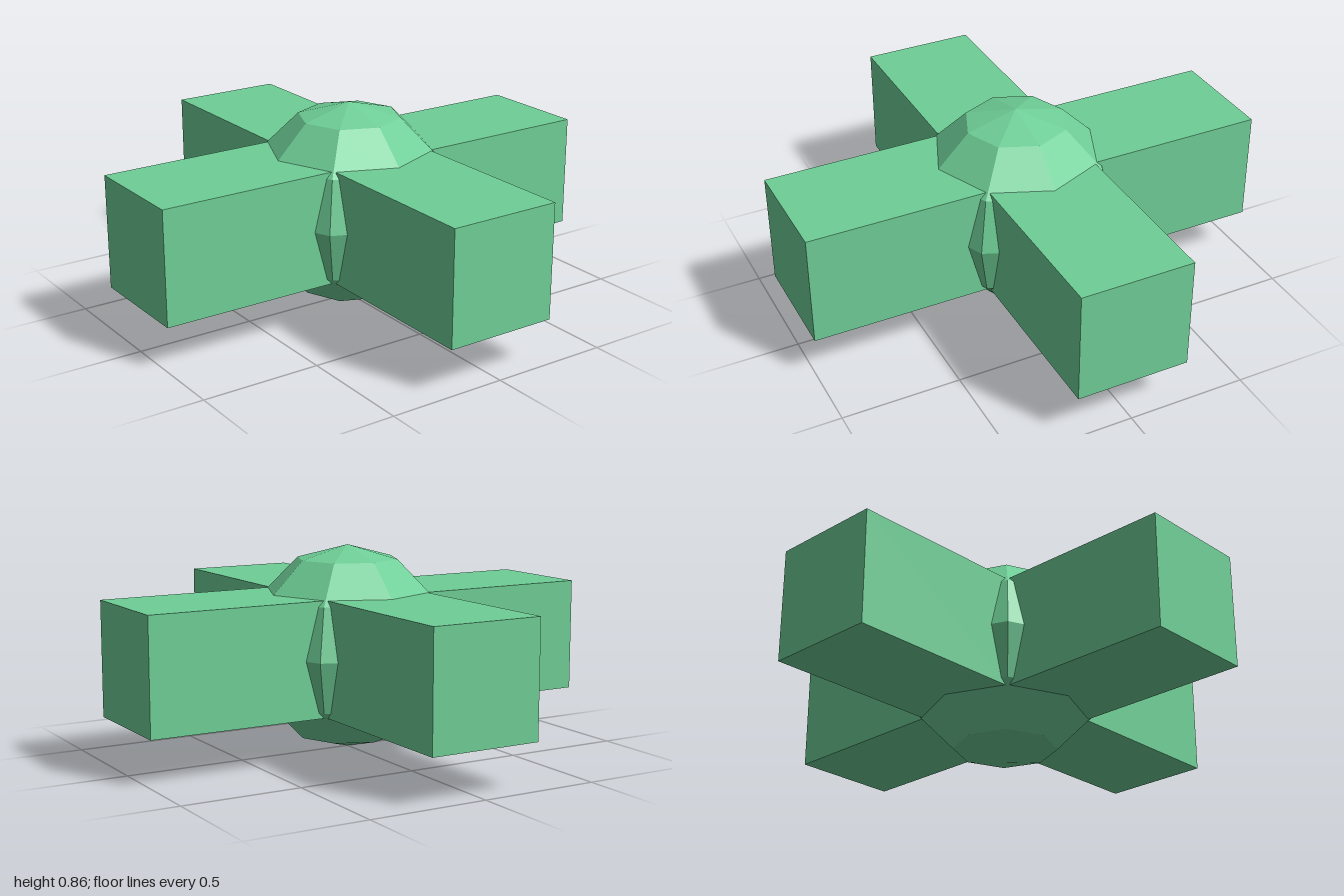
import * as THREE from 'three';

export function createModel() {
  const group = new THREE.Group();
  group.name = 'crossHub';
  const green = new THREE.MeshStandardMaterial({ color: 0x6fcf97, flatShading: true });
  green.name = 'soft green';

  const radius = 0.4286; // core radius, also the height of its centre
  const half = 0.238; // half thickness of the square arms

  // Four square arms as one plus-shaped slab
  const quarter = [[1, -half], [1, half], [half, half]];
  const points = [];
  for (let i = 0; i < 4; i++) {
    for (const [x, y] of quarter) {
      points.push(new THREE.Vector2(x, y).rotateAround(new THREE.Vector2(), i * Math.PI / 2));
    }
  }
  const armGeometry = new THREE.ExtrudeGeometry(new THREE.Shape(points), { depth: 2 * half, bevelEnabled: false });
  armGeometry.translate(0, 0, -half).rotateX(-Math.PI / 2);
  const arms = new THREE.Mesh(armGeometry, green);
  arms.name = 'crossArms';
  arms.position.y = radius;
  group.add(arms);

  // Faceted ball at the crossing
  const core = new THREE.Mesh(new THREE.SphereGeometry(radius, 8, 6), green);
  core.name = 'facetedCore';
  core.position.y = radius;
  group.add(core);

  return group;
}
